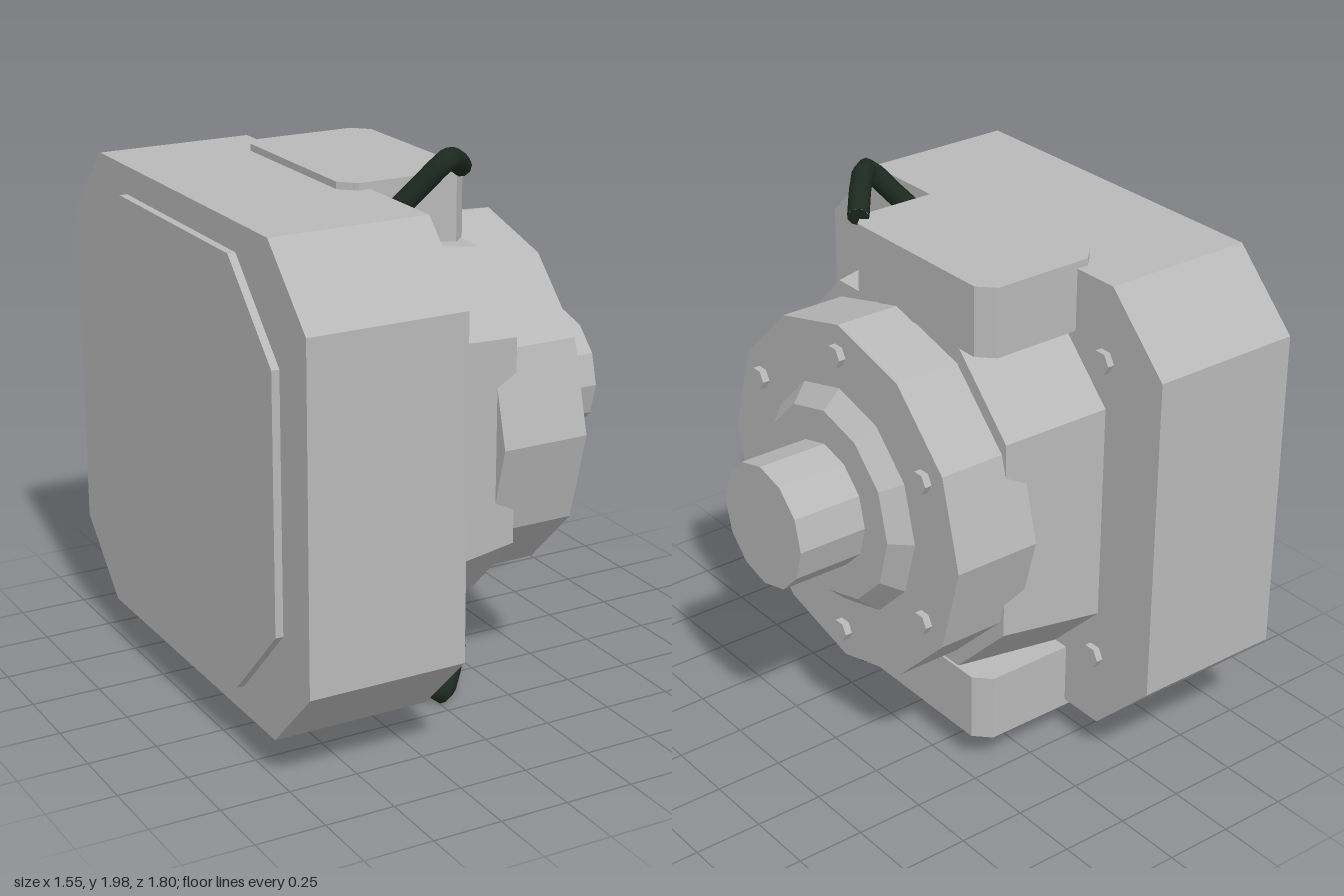
import * as THREE from 'three';

const CY = 1.005; // height of the drive axis

// faceted normals for hard-edged machine parts
function faceted(geo) {
  const g = geo.index ? geo.toNonIndexed() : geo;
  g.computeVertexNormals();
  return g;
}

// octagon with half sizes w, h and flat half lengths fw, fh, extruded along +z
function octagon(w, h, fw, fh, depth) {
  const pts = [[w, -fh], [w, fh], [fw, h], [-fw, h], [-w, fh], [-w, -fh], [-fw, -h], [fw, -h]];
  const shape = new THREE.Shape(pts.map(([x, y]) => new THREE.Vector2(x, y)));
  return new THREE.ExtrudeGeometry(shape, { depth, bevelEnabled: false });
}

export function createModel() {
  const model = new THREE.Group();
  model.name = 'gearMotor';
  const metal = new THREE.MeshStandardMaterial({ color: 0xb8b8b8 });
  metal.name = 'grey metal';
  const rubber = new THREE.MeshStandardMaterial({ color: 0x1c2a20 });
  rubber.name = 'dark green cable';

  function add(name, geo, material = metal) {
    const mesh = new THREE.Mesh(geo, material);
    mesh.name = name;
    model.add(mesh);
    return mesh;
  }

  // octagonal slab lying along the x axis, optionally tapered towards +x
  function slab(name, x0, x1, w, h, fw, fh, taper = 1) {
    const d = x1 - x0;
    const geo = octagon(w, h, fw, fh, d);
    const p = geo.attributes.position;
    for (let i = 0; i < p.count; i++) {
      const s = 1 + (taper - 1) * p.getZ(i) / d;
      p.setXY(i, p.getX(i) * s, p.getY(i) * s);
    }
    geo.rotateY(Math.PI / 2);
    add(name, faceted(geo)).position.set(x0, CY, 0);
  }

  // faceted disc or cone along the x axis
  function disc(name, x0, x1, r0, r1, sides, y = CY, z = 0) {
    const geo = new THREE.CylinderGeometry(r1, r0, x1 - x0, sides);
    geo.rotateZ(-Math.PI / 2);
    add(name, faceted(geo)).position.set((x0 + x1) / 2, y, z);
  }

  // housing
  slab('backCover', -0.778, -0.75, 0.72, 0.75, 0.425, 0.45);
  slab('mainHousing', -0.75, -0.18, 0.9, 0.85, 0.65, 0.6);
  slab('taperedHousing', -0.18, 0.2, 0.635, 0.675, 0.365, 0.4, 0.92);

  // flange and output shaft
  disc('flange', 0.12, 0.445, 0.65, 0.65, 12);
  disc('shaftCollar', 0.445, 0.512, 0.415, 0.352, 12);
  disc('shaft', 0.5, 0.772, 0.226, 0.226, 12);

  // flange bolts
  for (let i = 0; i < 6; i++) {
    const a = i * Math.PI / 3;
    disc('flangeBolt', 0.44, 0.471, 0.04, 0.04, 6, CY + 0.54 * Math.cos(a), 0.54 * Math.sin(a));
  }

  // bolts at the housing corners
  for (const sy of [1, -1]) {
    for (const sz of [1, -1]) {
      disc('housingBolt', -0.19, -0.155, 0.043, 0.043, 6, CY + sy * 0.575, sz * 0.625);
    }
  }

  // terminal boxes and cables, above and below
  for (const s of [1, -1]) {
    const box = octagon(0.242, 0.372, 0.187, 0.317, 0.25);
    box.rotateX(-Math.PI / 2).translate(0, -0.125, 0);
    add(s > 0 ? 'upperTerminalBox' : 'lowerTerminalBox', faceted(box))
      .position.set(-0.037, CY + s * 0.75, -0.102);

    const path = new THREE.CatmullRomCurve3([
      [-0.15, 0.77, 0.345], [-0.07, 0.865, 0.39], [0.01, 0.956, 0.43],
      [0.08, 0.94, 0.365], [0.18, 0.882, 0.245],
    ].map(([x, y, z]) => new THREE.Vector3(x, CY + s * y, z)));
    const name = s > 0 ? 'upperCable' : 'lowerCable';
    add(name, new THREE.TubeGeometry(path, 12, 0.038, 10), rubber);
    // closed cable ends
    for (const t of [0, 1]) {
      const cap = add(name + 'End', new THREE.CircleGeometry(0.038, 10), rubber);
      const dir = path.getTangentAt(t).multiplyScalar(t ? 1 : -1);
      cap.position.copy(path.getPointAt(t));
      cap.quaternion.setFromUnitVectors(new THREE.Vector3(0, 0, 1), dir);
    }
  }

  return model;
}
